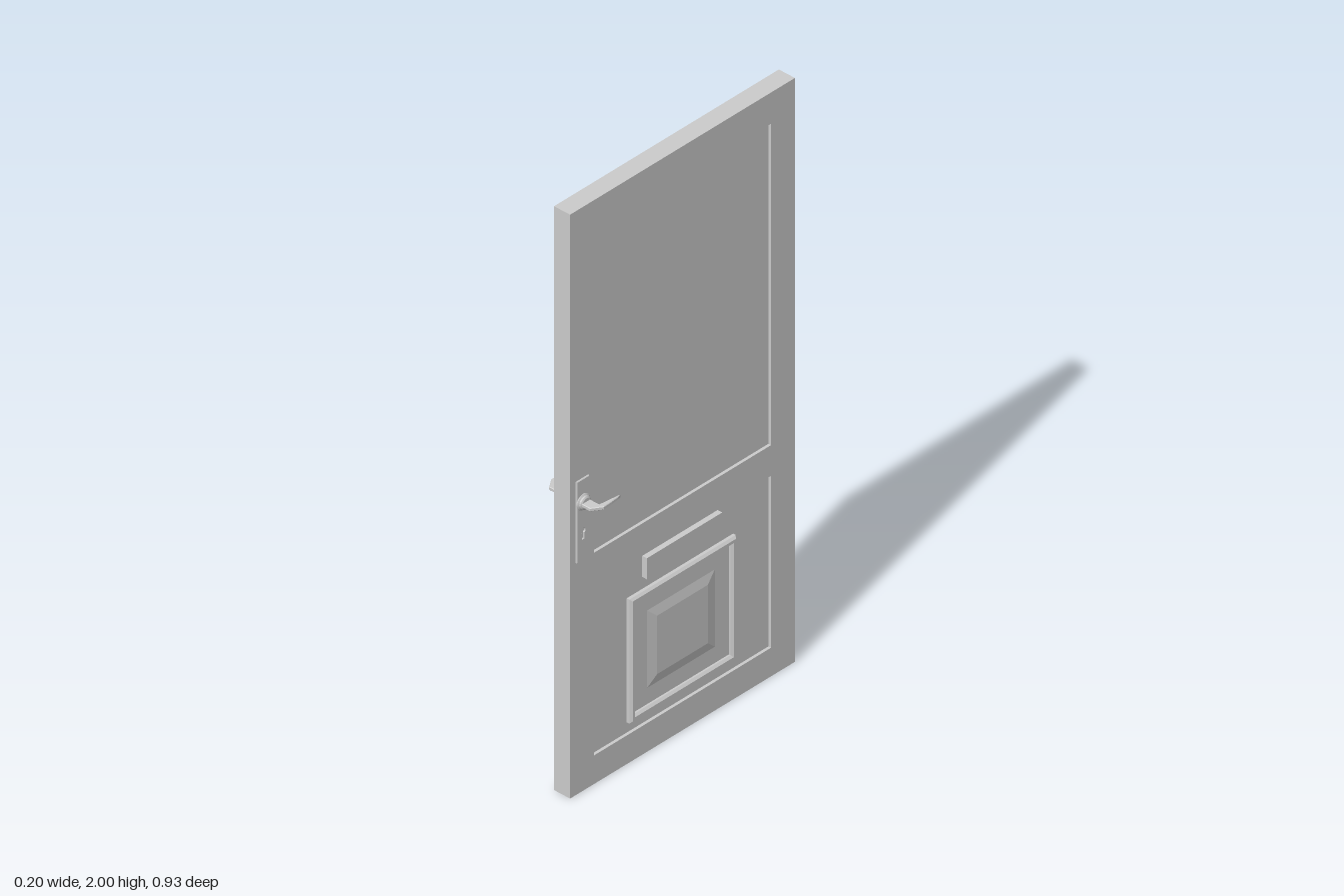
import * as THREE from 'three';

const material = new THREE.MeshStandardMaterial({ color: 0xcccccc });
const HANDLE_Z = 0.416;

// Rectangle path in the door plane (u = -z, v = y)
function rect(path, u0, u1, v0, v1) {
  path.moveTo(u0, v0);
  path.lineTo(u1, v0);
  path.lineTo(u1, v1);
  path.lineTo(u0, v1);
  path.closePath();
  return path;
}

// Extrude a door-plane shape along x from x0 to x1, with an optional bevel at the edges
function slab(shape, x0, x1, bevel = 0) {
  const geo = new THREE.ExtrudeGeometry(shape, {
    depth: x1 - x0 - bevel, bevelEnabled: bevel > 0, bevelThickness: bevel,
    bevelSize: bevel, bevelOffset: -bevel, bevelSegments: 1, curveSegments: 10,
  });
  return geo.rotateY(Math.PI / 2).translate(x0, 0, 0);
}

// Mirror a geometry through x = 0, restoring the face winding
function mirrored(source) {
  const geo = source.index ? source.toNonIndexed() : source.clone();
  geo.scale(-1, 1, 1);
  for (const attr of Object.values(geo.attributes)) {
    const a = attr.array, n = attr.itemSize;
    for (let i = 0; i < attr.count; i += 3) {
      for (let k = 0; k < n; k++) {
        const p = (i + 1) * n + k, q = (i + 2) * n + k;
        [a[p], a[q]] = [a[q], a[p]];
      }
    }
  }
  return geo;
}

// Four-sided frustum raised along +x, centred at height y
function raisedPanel(y, w0, h0, w1, h1, x0, x1) {
  const geo = new THREE.BoxGeometry(1, 1, 1).toNonIndexed();
  const p = geo.attributes.position;
  for (let i = 0; i < p.count; i++) {
    const outer = p.getX(i) > 0;
    p.setXYZ(i, outer ? x1 : x0, y + p.getY(i) * (outer ? h1 : h0), p.getZ(i) * (outer ? w1 : w0));
  }
  geo.computeVertexNormals();
  return geo;
}

export function createModel() {
  const door = new THREE.Group();
  door.name = 'door';
  const add = (name, geo) => {
    const mesh = new THREE.Mesh(geo, material);
    mesh.name = name;
    door.add(mesh);
  };
  const addBoth = (name, geo) => {
    add(name + 'Left', geo);
    add(name + 'Right', mirrored(geo));
  };

  // Stiles and rails with two panel openings
  const leaf = rect(new THREE.Shape(), -0.465, 0.465, 0, 2);
  leaf.holes.push(rect(new THREE.Path(), -0.366, 0.366, 0.792, 1.893));
  leaf.holes.push(rect(new THREE.Path(), -0.366, 0.366, 0.098, 0.687));
  add('doorFrame', slab(leaf, -0.031, 0.031));

  // Recessed panels
  add('upperPanel', new THREE.BoxGeometry(0.042, 1.101, 0.732).translate(0, 1.3425, 0));
  add('lowerPanel', new THREE.BoxGeometry(0.042, 0.589, 0.732).translate(0, 0.3925, 0));

  // Letter slot cover
  addBoth('letterSlot', new THREE.BoxGeometry(0.02, 0.072, 0.312).translate(0.029, 0.635, 0));

  // Pet flap: bevelled surround and a raised centre
  const surround = rect(new THREE.Shape(), -0.22, 0.22, 0.133, 0.558);
  surround.holes.push(rect(new THREE.Path(), -0.198, 0.198, 0.157, 0.534));
  addBoth('flapSurround', slab(surround, 0.019, 0.038, 0.007));
  addBoth('flapLeaf', new THREE.BoxGeometry(0.008, 0.385, 0.406).translate(0.021, 0.345, 0));
  addBoth('flapCentre', raisedPanel(0.345, 0.28, 0.265, 0.21, 0.2, 0.025, 0.031));

  // Handle plate with a round-topped keyhole
  const u = -HANDLE_Z;
  const plate = rect(new THREE.Shape(), u - 0.026, u + 0.026, 0.795, 1.073);
  const keyhole = new THREE.Path();
  keyhole.moveTo(u - 0.004, 0.868);
  keyhole.lineTo(u + 0.004, 0.868);
  keyhole.lineTo(u + 0.004, 0.888);
  keyhole.absarc(u, 0.895, 0.008, -Math.PI / 3, Math.PI * 4 / 3, false);
  keyhole.closePath();
  plate.holes.push(keyhole);
  addBoth('handlePlate', slab(plate, 0.03, 0.036, 0.002));

  // Stepped collar around the spindle
  const collar = [[0.027, 0.034], [0.027, 0.038], [0.022, 0.041], [0.022, 0.046], [0.017, 0.049], [0, 0.049]]
    .map(([r, x]) => new THREE.Vector2(r, x));
  const collarGeo = new THREE.LatheGeometry(collar, 24).toNonIndexed();
  collarGeo.computeVertexNormals();
  addBoth('handleCollar', collarGeo.rotateZ(-Math.PI / 2).translate(0, 0.995, HANDLE_Z));

  // Lever: flat outline in plan (x, z), bent toward the middle and tapering to its tip
  const lever = new THREE.Shape([
    [0.045, 0.434], [0.079, 0.434], [0.102, 0.4], [0.1, 0.365], [0.097, 0.335], [0.094, 0.325],
    [0.091, 0.335], [0.087, 0.365], [0.083, 0.4], [0.045, 0.4],
  ].map(([x, z]) => new THREE.Vector2(x, -z)));
  const leverGeo = new THREE.ExtrudeGeometry(lever, {
    depth: 0.008, bevelThickness: 0.002, bevelSize: 0.002, bevelOffset: -0.002, bevelSegments: 1,
  });
  addBoth('handleLever', leverGeo.rotateX(-Math.PI / 2).translate(0, 0.991, 0));

  return door;
}
